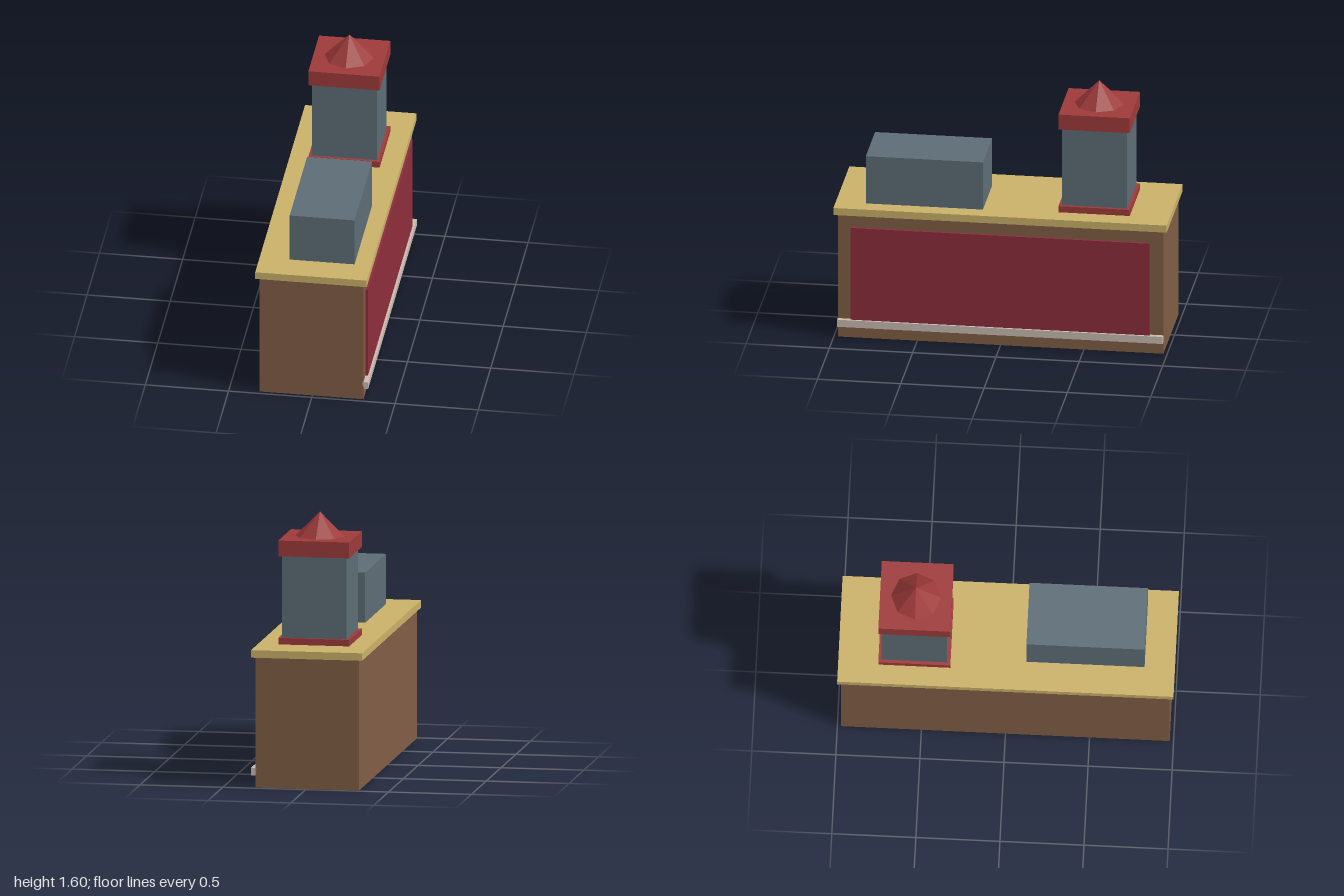
import * as THREE from 'three';

const paint = (name, color) => {
  const m = new THREE.MeshStandardMaterial({ color });
  m.name = name;
  return m;
};

export function createModel() {
  const wood = paint('brown wood', 0x805d45);
  const gold = paint('pale gold', 0xcab069);
  const crimson = paint('crimson', 0x8c2d3b);
  const silver = paint('pale metal', 0xcabbb2);
  const slate = paint('slate', 0x5d6d76);
  const red = paint('red', 0x9e3a3a);
  const model = new THREE.Group();
  model.name = 'counter';

  // Box given by its [min, max] extent on each axis
  const box = (parent, name, mat, [x0, x1], [y0, y1], [z0, z1]) => {
    const mesh = new THREE.Mesh(new THREE.BoxGeometry(x1 - x0, y1 - y0, z1 - z0), mat);
    mesh.position.set((x0 + x1) / 2, (y0 + y1) / 2, (z0 + z1) / 2);
    mesh.name = name;
    parent.add(mesh);
  };

  // Counter with overhanging top, side panel and foot rail
  box(model, 'counterBody', wood, [-0.318, 0.307], [0, 0.785], [-0.977, 0.977]);
  box(model, 'counterTop', gold, [-0.34, 0.33], [0.785, 0.83], [-1, 1]);
  box(model, 'sidePanel', crimson, [0.3, 0.322], [0.1, 0.705], [-0.897, 0.897]);
  box(model, 'footRail', silver, [0.3, 0.335], [0.073, 0.118], [-0.977, 0.977]);

  // Low block standing on the counter
  box(model, 'lowBlock', slate, [-0.16, 0.23], [0.83, 1.132], [0.117, 0.82]);

  // Tower: base plate, square column, cap and eight-sided peak
  const tower = new THREE.Group();
  tower.name = 'tower';
  tower.position.set(-0.006, 0, -0.547);
  model.add(tower);
  const square = (name, mat, r, y0, y1) => box(tower, name, mat, [-r, r], [y0, y1], [-r, r]);
  square('towerBase', red, 0.214, 0.83, 0.869);
  square('towerColumn', slate, 0.195, 0.869, 1.36);
  square('towerCap', red, 0.214, 1.36, 1.455);
  const peak = new THREE.Mesh(new THREE.ConeGeometry(0.148, 0.147, 8).toNonIndexed(), red);
  peak.geometry.computeVertexNormals();
  peak.position.y = 1.455 + 0.147 / 2;
  peak.name = 'towerPeak';
  tower.add(peak);

  return model;
}
